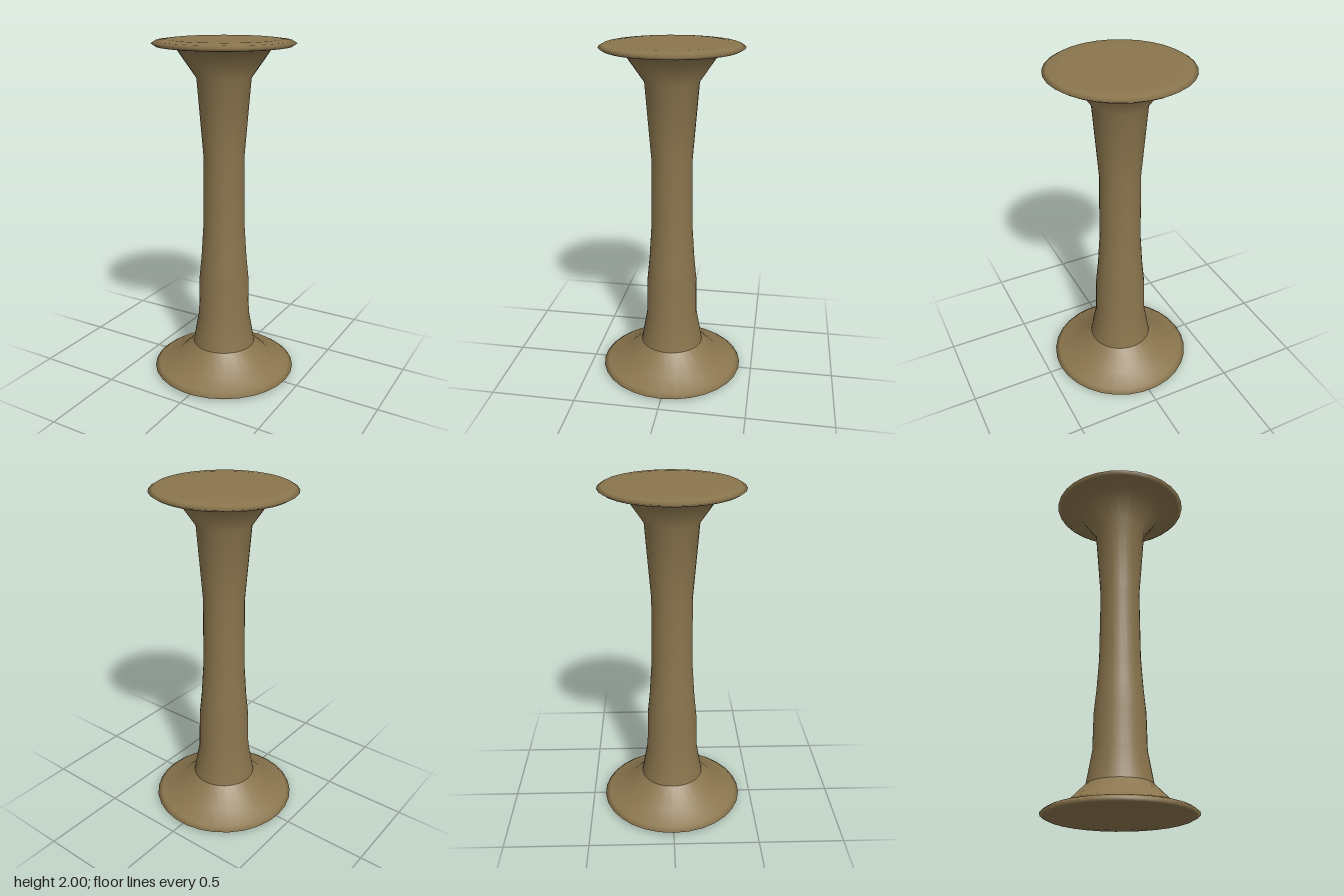
import * as THREE from 'three';

const SIDES = 30;

export function createModel() {
  const group = new THREE.Group();
  const material = new THREE.MeshStandardMaterial({ color: 0x8a754d });

  // Turned part from [radius, height] pairs, listed bottom to top
  function turned(name, profile) {
    const points = profile.map(([r, y]) => new THREE.Vector2(r, y));
    const mesh = new THREE.Mesh(new THREE.LatheGeometry(points, SIDES, Math.PI / 2), material);
    mesh.name = name;
    group.add(mesh);
  }

  // Flared foot with a flat underside
  turned('base', [
    [0, 0], [0.31, 0], [0.405, 0.008], [0.427, 0.02], [0.4, 0.04],
    [0.29, 0.077], [0.187, 0.18],
  ]);

  // Waisted shaft, slightly swollen low down
  turned('column', [
    [0.187, 0.18], [0.153, 0.37], [0.149, 0.59], [0.135, 0.73],
    [0.122, 0.93], [0.118, 1.35], [0.153, 1.79], [0.262, 1.948],
    // flared head and its thin rounded rim
    [0.375, 1.963], [0.398, 1.978], [0.375, 1.992], [0.31, 2], [0, 2],
  ]);

  return group;
}
